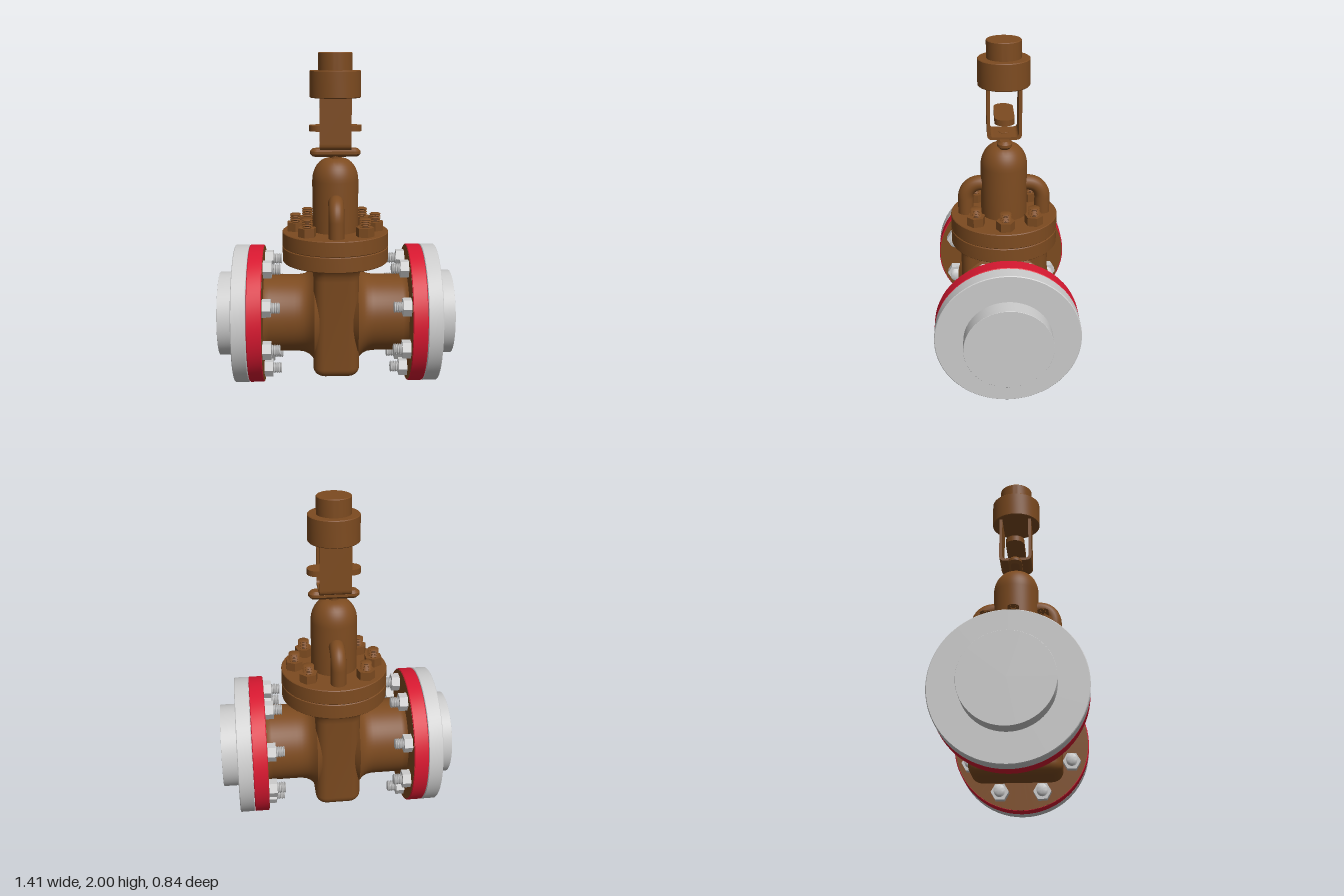
import * as THREE from 'three';
import { toCreasedNormals } from 'three/addons/utils/BufferGeometryUtils.js';

const brown = new THREE.MeshStandardMaterial({ color: 0x7d4b20 });
const red = new THREE.MeshStandardMaterial({ color: 0xd71830 });
const grey = new THREE.MeshStandardMaterial({ color: 0xcccccc });
const AXIS = 0.425; // height of the pipe axis

function add(parent, name, geometry, material) {
  const mesh = new THREE.Mesh(geometry, material);
  mesh.name = name;
  parent.add(mesh);
  return mesh;
}

// Solid of revolution about y, from [radius, height] points
function turned(points, segments = 64) {
  const g = new THREE.LatheGeometry(points.map(p => new THREE.Vector2(p[0], p[1])), segments);
  return toCreasedNormals(g, 0.6);
}

// Disc with slightly eased rims between two heights
function disc(r, y0, y1, e = 0.004) {
  return turned([[0, y0], [r - e, y0], [r, y0 + e], [r, y1 - e], [r - e, y1], [0, y1]]);
}

// Hex nut with a threaded bolt end, standing on y = 0
function makeBolt(material, nutHeight = 0.053, length = 0.105) {
  const bolt = new THREE.Group();
  bolt.name = 'bolt';
  const nut = toCreasedNormals(new THREE.CylinderGeometry(0.055, 0.055, nutHeight, 6), 0.3);
  add(bolt, 'nut', nut, material).position.y = nutHeight / 2;
  const pts = [[0.028, nutHeight - 0.01]];
  const turns = 5, pitch = (length - nutHeight) / turns;
  for (let i = 0; i < turns; i++) {
    const y = nutHeight + i * pitch;
    pts.push([0.027, y], [0.034, y + pitch * 0.5]);
  }
  pts.push([0.026, length], [0, length]);
  add(bolt, 'thread', turned(pts, 20), material);
  return bolt;
}

// Rounded rectangle loops stacked by [y, halfX, halfZ, cornerRadius]
function stackedLoops(levels, perCorner = 8) {
  const pos = [], index = [];
  const n = 4 * (perCorner + 1);
  for (const [y, hx, hz, r] of levels) {
    for (let c = 0; c < 4; c++) {
      const sx = c === 0 || c === 3 ? 1 : -1, sz = c < 2 ? 1 : -1;
      for (let k = 0; k <= perCorner; k++) {
        const a = (c + k / perCorner) * Math.PI / 2;
        pos.push(sx * (hx - r) + r * Math.cos(a), y, sz * (hz - r) + r * Math.sin(a));
      }
    }
  }
  for (let l = 0; l < levels.length - 1; l++) {
    for (let i = 0; i < n; i++) {
      const a = l * n + i, b = l * n + (i + 1) % n;
      index.push(a, a + n, b, b, a + n, b + n);
    }
  }
  // Flat bottom cap
  pos.push(0, levels[0][0], 0);
  for (let i = 0; i < n; i++) index.push(levels.length * n, i, (i + 1) % n);
  const g = new THREE.BufferGeometry();
  g.setAttribute('position', new THREE.Float32BufferAttribute(pos, 3));
  g.setIndex(index);
  return toCreasedNormals(g, 0.6);
}

// Horizontal plate with round ends, long in x
function roundEndedPlate(halfX, halfZ, height, bevel) {
  const s = new THREE.Shape(), hx = halfX - bevel, r = halfZ - bevel;
  s.absarc(hx - r, 0, r, -Math.PI / 2, Math.PI / 2);
  s.absarc(-hx + r, 0, r, Math.PI / 2, Math.PI * 1.5);
  const g = new THREE.ExtrudeGeometry(s, {
    depth: height - 2 * bevel, bevelEnabled: bevel > 0, bevelSize: bevel,
    bevelThickness: bevel, bevelSegments: 1, curveSegments: 16,
  });
  g.translate(0, 0, bevel - height / 2);
  return g.rotateX(-Math.PI / 2);
}

// One pipe end, built along +y and then laid along +x
function makePipeEnd() {
  const end = new THREE.Group();
  end.name = 'pipeEnd';
  add(end, 'neck', turned([
    [0.2, 0.05], [0.29, 0.13], [0.272, 0.145], [0.253, 0.165], [0.241, 0.19], [0.236, 0.22],
    [0.235, 0.25], [0.235, 0.4], [0.238, 0.42], [0.25, 0.436],
  ]), brown);
  add(end, 'flangeInnerFace', turned([[0.2, 0.433], [0.414, 0.433], [0.414, 0.45]]), brown);
  add(end, 'innerFlange', disc(0.42, 0.434, 0.521), red);
  add(end, 'outerFlange', disc(0.42, 0.523, 0.61), grey);
  add(end, 'pipeStub', disc(0.255, 0.6, 0.705, 0.001), grey);
  for (let i = 0; i < 8; i++) {
    const a = (i + 0.5) * Math.PI / 4;
    const bolt = makeBolt(grey);
    bolt.rotation.x = Math.PI;
    bolt.position.set(0.336 * Math.cos(a), 0.435, 0.336 * Math.sin(a));
    end.add(bolt);
  }
  end.rotation.z = -Math.PI / 2;
  return end;
}

export function createModel() {
  const model = new THREE.Group();
  model.name = 'gateValve';

  // Gate housing: rounded box with a soft bottom and flared top
  const levels = [];
  for (let i = 0; i <= 8; i++) {
    const a = i / 8 * Math.PI / 2, inset = 0.06 * (1 - Math.sin(a));
    levels.push([0.09 + 0.06 * (1 - Math.cos(a)), 0.138 - inset, 0.262 - inset, 0.065 - inset * 0.8]);
  }
  levels.push([0.69, 0.134, 0.262, 0.065], [0.72, 0.136, 0.267, 0.067],
    [0.745, 0.141, 0.277, 0.07], [0.765, 0.15, 0.292, 0.075]);
  add(model, 'gateHousing', stackedLoops(levels), brown);

  // Pipe ends on both sides
  for (const turn of [0, Math.PI]) {
    const side = new THREE.Group();
    side.name = turn ? 'rightSide' : 'leftSide';
    side.add(makePipeEnd());
    side.position.y = AXIS;
    side.rotation.y = turn;
    model.add(side);
  }

  // Bonnet flanges and dome
  add(model, 'lowerBonnetFlange', disc(0.32, 0.76, 0.852), brown);
  add(model, 'upperBonnetFlange', disc(0.32, 0.853, 0.945), brown);
  const dome = [[0.138, 0.94], [0.138, 1.25]];
  for (let i = 1; i <= 10; i++) {
    const a = i / 10 * Math.PI / 2;
    dome.push([0.038 + 0.1 * Math.cos(a), 1.25 + 0.135 * Math.sin(a)]);
  }
  dome.push([0, 1.385]);
  add(model, 'bonnet', turned(dome), brown);

  // Bonnet bolts
  for (const degrees of [0, 45, 135, 180, 225, 315]) {
    const a = THREE.MathUtils.degToRad(degrees);
    const bolt = makeBolt(brown);
    bolt.position.set(0.24 * Math.cos(a), 0.945, 0.24 * Math.sin(a));
    bolt.rotation.y = -a;
    model.add(bolt);
  }

  // Curved arms at front and back
  for (const s of [1, -1]) {
    const path = new THREE.CurvePath();
    const p = (y, z) => new THREE.Vector3(0, y, s * z);
    path.add(new THREE.LineCurve3(p(0.93, 0.23), p(1.04, 0.23)));
    path.add(new THREE.CubicBezierCurve3(p(1.04, 0.23), p(1.1, 0.23), p(1.137, 0.19), p(1.137, 0.135)));
    path.add(new THREE.LineCurve3(p(1.137, 0.135), p(1.137, 0.08)));
    add(model, s > 0 ? 'frontArm' : 'backArm', new THREE.TubeGeometry(path, 40, 0.046, 20), brown);
  }

  // Stem and gland plate
  add(model, 'stem', disc(0.03, 1.37, 1.46, 0.002), brown);
  add(model, 'glandPlate', roundEndedPlate(0.15, 0.042, 0.048, 0.016), brown).position.y = 1.418;

  // U-shaped yoke strap, extruded across x
  const u = new THREE.Shape();
  u.moveTo(-0.1, 1.75);
  u.lineTo(-0.1, 1.475);
  u.quadraticCurveTo(-0.1, 1.44, -0.065, 1.44);
  u.lineTo(0.065, 1.44);
  u.quadraticCurveTo(0.1, 1.44, 0.1, 1.475);
  u.lineTo(0.1, 1.75);
  u.lineTo(0.082, 1.75);
  u.lineTo(0.082, 1.48);
  u.quadraticCurveTo(0.082, 1.456, 0.06, 1.456);
  u.lineTo(-0.06, 1.456);
  u.quadraticCurveTo(-0.082, 1.456, -0.082, 1.48);
  u.lineTo(-0.082, 1.75);
  const strap = new THREE.ExtrudeGeometry(u, { depth: 0.184, bevelEnabled: false });
  strap.translate(0, 0, -0.092).rotateY(Math.PI / 2);
  add(model, 'yoke', strap, brown);

  // Indicator plate inside the yoke
  add(model, 'indicatorPlate', roundEndedPlate(0.156, 0.057, 0.034, 0), brown).position.y = 1.562;

  // Collar and cap
  add(model, 'collar', disc(0.15, 1.74, 1.897), brown);
  add(model, 'cap', disc(0.1, 1.89, 2.0), brown);
  return model;
}
